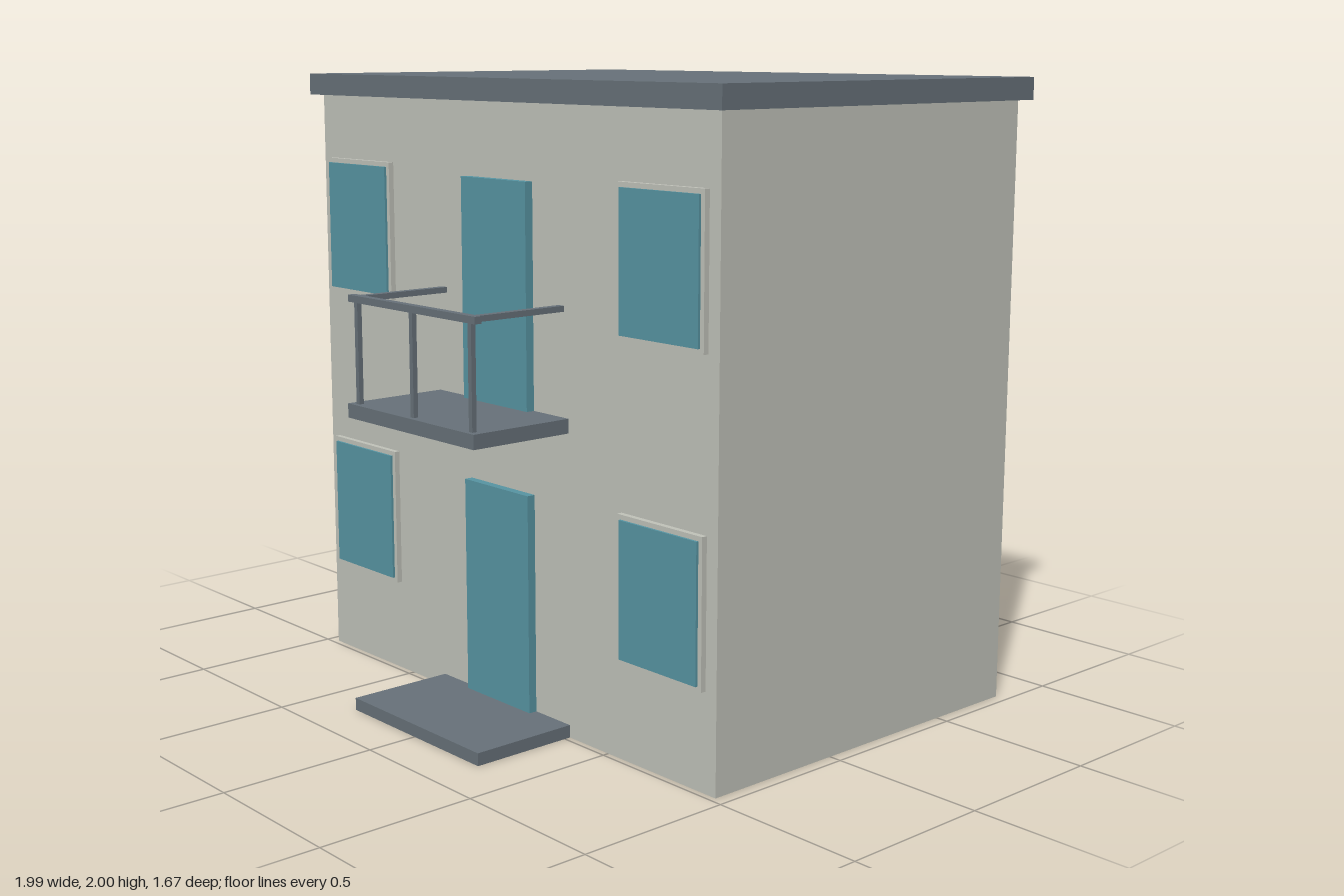
import * as THREE from 'three';

const mat = (name, color) => {
  const m = new THREE.MeshStandardMaterial({ color });
  m.name = name;
  return m;
};

export function createModel() {
  const model = new THREE.Group();
  model.name = 'house';
  const wall = mat('plaster', 0xc2c4bb);
  const glass = mat('blueGlass', 0x5896a4);
  const trim = mat('slateGrey', 0x68727a);

  // Box given by its limits on each axis
  const box = (parent, name, material, x0, x1, y0, y1, z0, z1) => {
    const mesh = new THREE.Mesh(new THREE.BoxGeometry(x1 - x0, y1 - y0, z1 - z0), material);
    mesh.position.set((x0 + x1) / 2, (y0 + y1) / 2, (z0 + z1) / 2);
    mesh.name = name;
    parent.add(mesh);
  };

  const front = 0.48, back = -0.803;
  box(model, 'walls', wall, -0.96, 0.96, 0, 1.93, back, front);
  box(model, 'roof', trim, -0.993, 0.993, 1.93, 2, -0.835, 0.513);

  // Window: raised frame with a pane standing slightly proud of it
  const addWindow = (x, y, z, turned) => {
    const g = new THREE.Group();
    g.name = 'window';
    box(g, 'windowFrame', wall, -0.178, 0.178, -0.226, 0.226, -0.01, 0.018);
    box(g, 'windowPane', glass, -0.163, 0.163, -0.211, 0.211, 0.018, 0.026);
    g.position.set(x, y, z);
    if (turned) g.rotation.y = Math.PI;
    model.add(g);
  };
  for (const y of [0.531, 1.494]) {
    for (const x of [-0.738, 0.738]) {
      addWindow(x, y, front, false);
      addWindow(x, y, back, true);
    }
  }
  addWindow(0, 1.494, back, true);

  // Doors, one on each floor
  box(model, 'frontDoor', glass, -0.158, 0.158, 0.04, 0.737, front - 0.01, 0.508);
  box(model, 'balconyDoor', glass, -0.158, 0.158, 1.0, 1.697, front - 0.01, 0.508);

  // Doorstep and balcony
  box(model, 'doorstep', trim, -0.321, 0.321, 0, 0.04, front, 0.835);
  const balcony = new THREE.Group();
  balcony.name = 'balcony';
  model.add(balcony);
  box(balcony, 'balconySlab', trim, -0.321, 0.321, 0.955, 1, front, 0.835);
  box(balcony, 'frontRail', trim, -0.321, 0.321, 1.318, 1.34, 0.8, 0.825);
  for (const x of [-0.29, 0.29]) {
    box(balcony, 'sideRail', trim, x - 0.012, x + 0.012, 1.32, 1.338, front, 0.8);
  }
  for (const x of [-0.288, 0, 0.288]) {
    box(balcony, 'railPost', trim, x - 0.008, x + 0.008, 1, 1.318, 0.804, 0.82);
  }
  return model;
}
